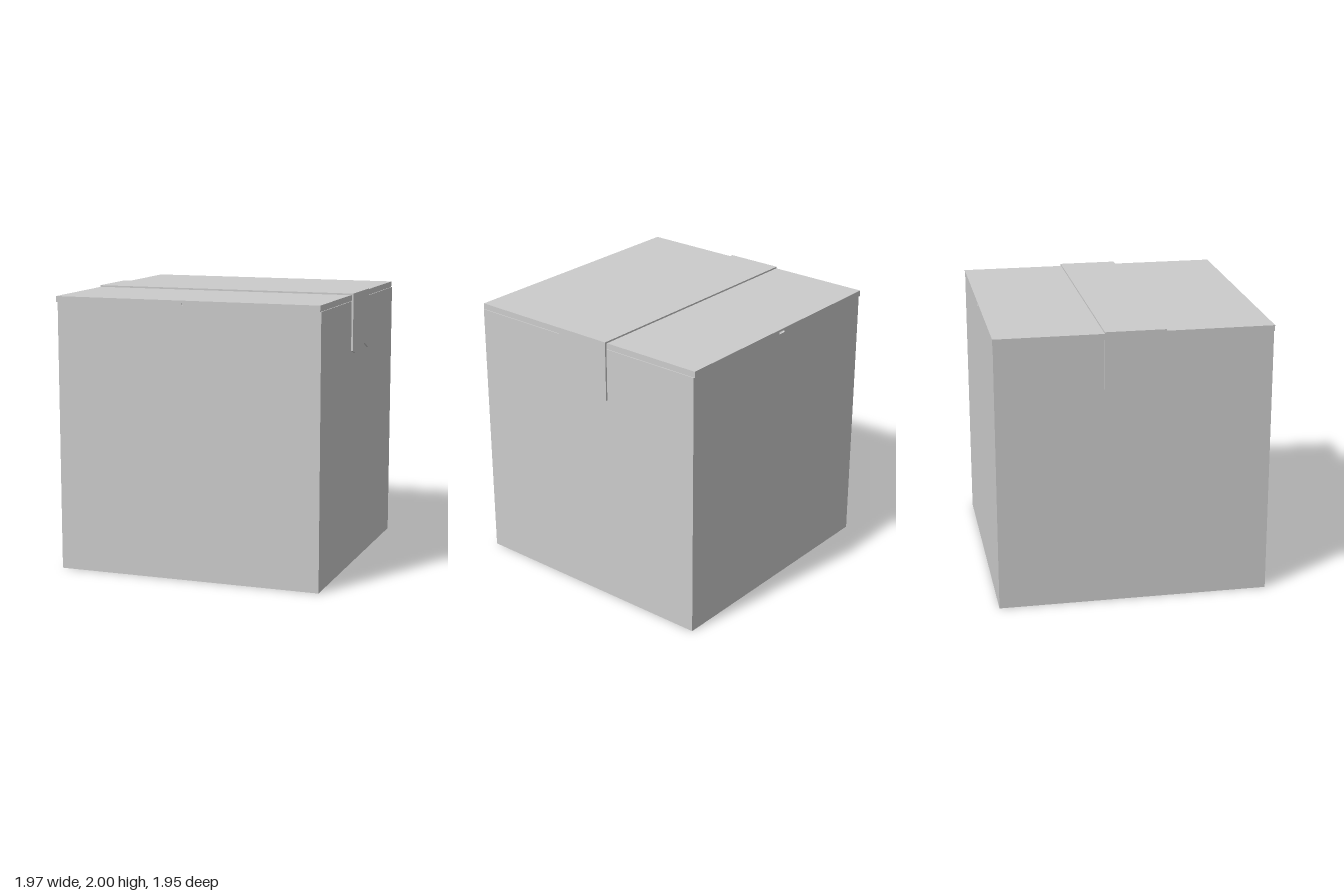
import * as THREE from 'three';

const grey = new THREE.MeshStandardMaterial({ color: 0xcccccc, flatShading: true, side: THREE.DoubleSide });

function add(parent, name, geometry, x = 0, y = 0, z = 0) {
  const mesh = new THREE.Mesh(geometry, grey);
  mesh.name = name;
  mesh.position.set(x, y, z);
  parent.add(mesh);
  return mesh;
}

// Box given by its minimum and maximum corners
function slab(parent, name, [x0, y0, z0], [x1, y1, z1]) {
  return add(parent, name, new THREE.BoxGeometry(x1 - x0, y1 - y0, z1 - z0),
    (x0 + x1) / 2, (y0 + y1) / 2, (z0 + z1) / 2);
}

// Lid skirt with a small rounded slot in the middle
function slottedSkirt(x0, x1, y0, y1, depth) {
  const shape = new THREE.Shape();
  shape.moveTo(x0, y0).lineTo(x1, y0).lineTo(x1, y1).lineTo(x0, y1).closePath();
  const r = 0.009, half = 0.022, y = 1.964;
  const slot = new THREE.Path();
  slot.absarc(half, y, r, -Math.PI / 2, Math.PI / 2, false);
  slot.absarc(-half, y, r, Math.PI / 2, Math.PI * 1.5, false);
  slot.closePath();
  shape.holes.push(slot);
  return new THREE.ExtrudeGeometry(shape, { depth, bevelEnabled: false, curveSegments: 6 });
}

// Hanging tape end; the torn edge is a list of [z, y] points
function tapeEnd(torn, depth) {
  const w = 0.213;
  const shape = new THREE.Shape();
  shape.moveTo(-w, 2).lineTo(w, 2);
  torn.forEach(([z, y]) => shape.lineTo(z, y));
  shape.closePath();
  // Shape x becomes -z, extrusion runs along +x
  shape.holes = [];
  const geometry = new THREE.ExtrudeGeometry(shape, { depth, bevelEnabled: false });
  return geometry.rotateY(Math.PI / 2);
}

export function createModel() {
  const model = new THREE.Group();
  const W = 0.973, T = 0.012, rim = 1.945, top = 1.988;

  // Carton body: floor and four walls
  const body = new THREE.Group();
  body.name = 'boxBody';
  model.add(body);
  slab(body, 'floor', [-W, 0, -W], [W, T, W]);
  for (const s of [-1, 1]) {
    const a = s > 0 ? W - T : -W, b = a + T;
    slab(body, s > 0 ? 'leftWall' : 'rightWall', [a, T, -W], [b, rim, W]);
    slab(body, s > 0 ? 'frontWall' : 'backWall', [-W + T, T, a], [W - T, rim, b]);
  }

  // Hollow lid, sitting slightly off centre
  const lid = new THREE.Group();
  lid.name = 'lid';
  model.add(lid);
  const L = -0.983, R = 0.966, D = 0.976, under = top - T;
  slab(lid, 'lidTop', [L, under, -D], [R, top, D]);
  slab(lid, 'lidRightSkirt', [L, rim, -D + T], [L + T, under, D - T]);
  slab(lid, 'lidLeftSkirt', [R - T, rim, -D + T], [R, under, D - T]);
  add(lid, 'lidFrontSkirt', slottedSkirt(L, R, rim, under, T), 0, 0, D - T);
  add(lid, 'lidBackSkirt', slottedSkirt(L, R, rim, under, T), 0, 0, -D);

  // Packing tape over the top, with a torn end on each side
  const tape = new THREE.Group();
  tape.name = 'tape';
  model.add(tape);
  const E = 0.986, depth = 0.013;
  slab(tape, 'tapeTop', [-E + depth, top, -0.213], [E - depth, 2, 0.213]);
  const wavy = [[0.213, 1.565], [0.16, 1.59], [0.105, 1.61], [0.06, 1.603], [0, 1.585],
    [-0.06, 1.567], [-0.105, 1.56], [-0.15, 1.568], [-0.213, 1.588]];
  const jagged = [[0.213, 1.58], [0.18, 1.585], [0.14, 1.572], [0.1, 1.6], [0.06, 1.585], [0.02, 1.61],
    [-0.03, 1.592], [-0.07, 1.612], [-0.11, 1.585], [-0.15, 1.6], [-0.18, 1.575], [-0.213, 1.59]];
  add(tape, 'tapeLeftEnd', tapeEnd(wavy, depth), E - depth);
  add(tape, 'tapeRightEnd', tapeEnd(jagged.map(([z, y]) => [-z, y]).reverse(), depth), -E);

  return model;
}
